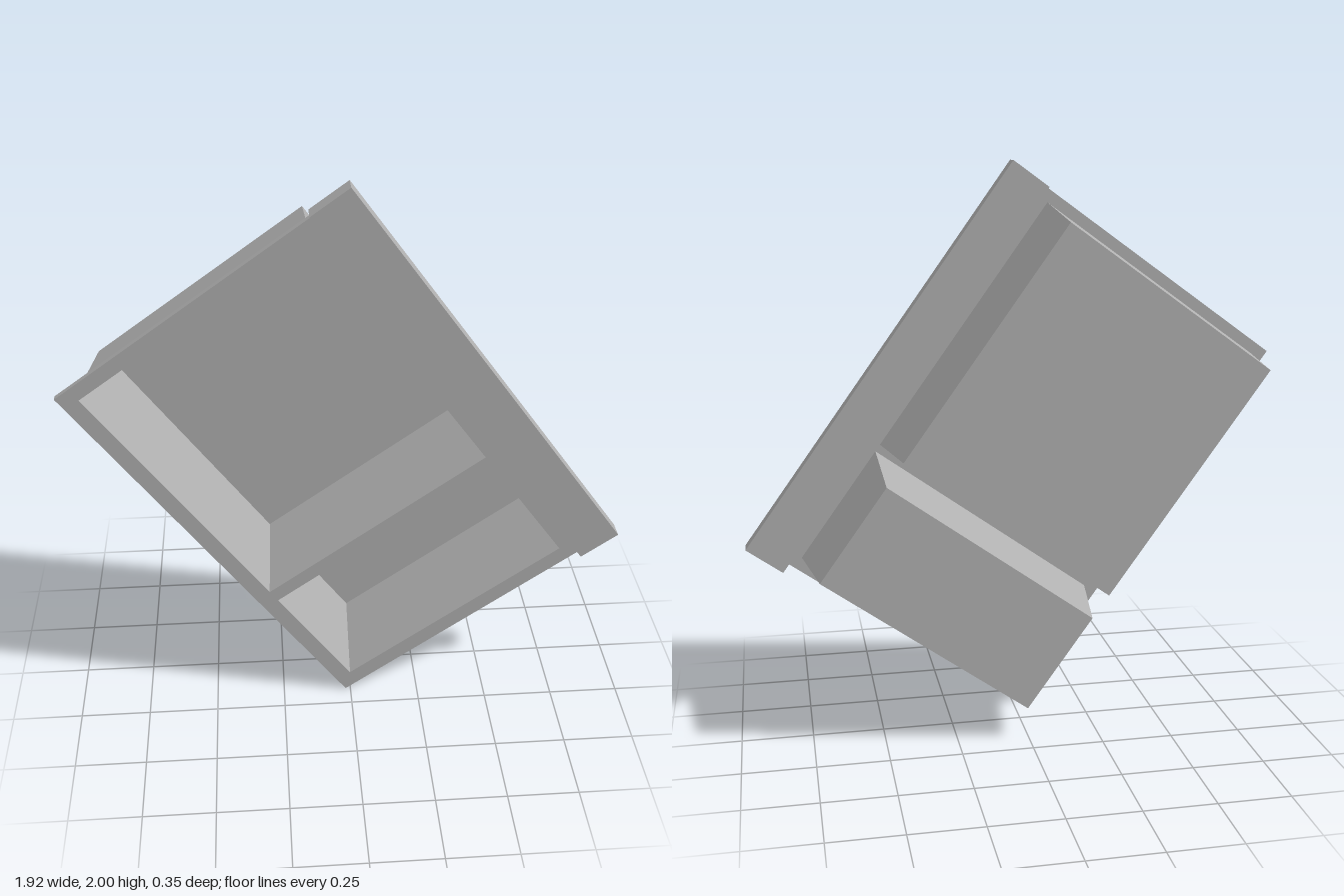
import * as THREE from 'three';

const FRONT = 0.173, PLATE_BACK = 0.15, STRIP_BACK = 0.11, BACK = -0.173, FLOOR = -0.16;

// Rectangle corners, counter-clockwise seen from the front, shrunk by d
const corners = ([x0, y0, x1, y1], d) => [
  [x0 + d, y0 + d], [x1 - d, y0 + d], [x1 - d, y1 - d], [x0 + d, y1 - d],
];

// Tapered four-sided cup from a front ring to a closed back ring
function cup(front, zFront, back, zBack, inward) {
  const pos = [];
  const quad = (a, b, c, d) => {
    const order = inward ? [a, b, c, a, c, d] : [a, c, b, a, d, c];
    order.forEach((p) => pos.push(...p));
  };
  const f = front.map(([x, y]) => [x, y, zFront]);
  const b = back.map(([x, y]) => [x, y, zBack]);
  for (let i = 0; i < 4; i++) {
    const j = (i + 1) % 4;
    quad(b[i], b[j], f[j], f[i]);
  }
  quad(b[0], b[1], b[2], b[3]);
  // Side walls wind opposite to the floor, so flip them
  for (let i = 0; i < 24 * 3; i += 9) {
    for (let k = 0; k < 3; k++) {
      [pos[i + 3 + k], pos[i + 6 + k]] = [pos[i + 6 + k], pos[i + 3 + k]];
    }
  }
  const g = new THREE.BufferGeometry();
  g.setAttribute('position', new THREE.Float32BufferAttribute(pos, 3));
  g.computeVertexNormals();
  return g;
}

export function createModel() {
  const grey = new THREE.MeshStandardMaterial({ color: 0xb0b0b0, side: THREE.DoubleSide });
  grey.name = 'grey';
  const model = new THREE.Group();
  model.name = 'tray';

  // The tray is tilted in its own plane; its origin is the top corner
  const tray = new THREE.Group();
  tray.name = 'tiltedTray';
  tray.position.set(0, 2, 0);
  tray.rotation.z = THREE.MathUtils.degToRad(35.72);
  model.add(tray);

  const add = (name, geometry) => {
    const mesh = new THREE.Mesh(geometry, grey);
    mesh.name = name;
    tray.add(mesh);
  };

  // Pocket openings: x0, y0, x1, y1
  const pockets = {
    largePocket: [-1.123, -1.064, -0.198, -0.053],
    smallPocket: [-1.122, -1.558, -0.198, -1.113],
  };

  // Thin face plate with the two openings
  const toPoints = (r) => corners(r, 0).map(([x, y]) => new THREE.Vector2(x, y));
  const plate = new THREE.Shape(toPoints([-1.182, -1.613, -0.156, -0.002]));
  for (const r of Object.values(pockets)) plate.holes.push(new THREE.Path(toPoints(r).reverse()));
  const plateGeo = new THREE.ExtrudeGeometry(plate, { depth: FRONT - PLATE_BACK, bevelEnabled: false });
  plateGeo.translate(0, 0, PLATE_BACK);
  add('facePlate', plateGeo);

  // Thicker strip along one long edge
  const strip = new THREE.BoxGeometry(0.156, 1.64, FRONT - STRIP_BACK);
  strip.translate(-0.078, -0.82, (FRONT + STRIP_BACK) / 2);
  add('edgeStrip', strip);

  // Tapered pockets with an inner and an outer skin
  for (const [name, r] of Object.entries(pockets)) {
    add(name + 'Inside', cup(corners(r, 0), FRONT, corners(r, 0.043), FLOOR, true));
    add(name + 'Outside', cup(corners(r, -0.01), PLATE_BACK, corners(r, 0.025), BACK, false));
  }
  return model;
}
